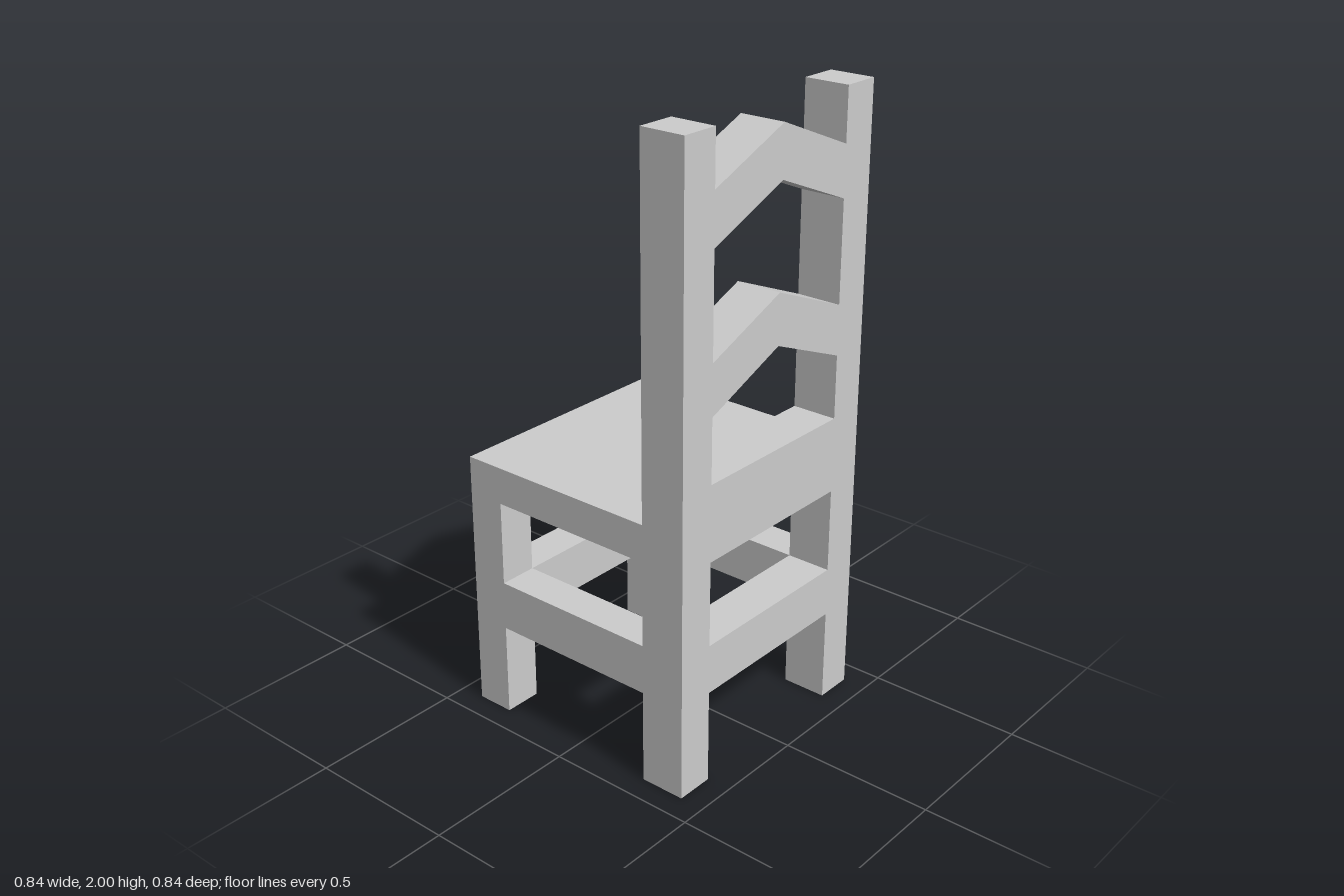
import * as THREE from 'three';

const HALF = 0.42;    // half of the footprint
const INNER = 0.295;  // inner face of the legs
const BACK = 0.272;   // inner face of the back posts

export function createModel() {
  const chair = new THREE.Group();
  chair.name = 'chair';
  const material = new THREE.MeshStandardMaterial({ color: 0xcccccc, flatShading: true });

  function add(name, geometry) {
    const mesh = new THREE.Mesh(geometry, material);
    mesh.name = name;
    chair.add(mesh);
    return mesh;
  }

  // Box given by its limits on each axis
  function block(name, [x0, x1], [y0, y1], [z0, z1]) {
    add(name, new THREE.BoxGeometry(x1 - x0, y1 - y0, z1 - z0))
      .position.set((x0 + x1) / 2, (y0 + y1) / 2, (z0 + z1) / 2);
  }

  // Peaked slat between the back posts
  function slat(name, low, thickness, rise) {
    const shape = new THREE.Shape([
      new THREE.Vector2(-INNER, low),
      new THREE.Vector2(0, low + rise),
      new THREE.Vector2(INNER, low),
      new THREE.Vector2(INNER, low + thickness),
      new THREE.Vector2(0, low + thickness + rise),
      new THREE.Vector2(-INNER, low + thickness),
    ]);
    add(name, new THREE.ExtrudeGeometry(shape, { depth: HALF - BACK, bevelEnabled: false }))
      .position.z = BACK;
  }

  const across = [-INNER, INNER];
  const backDepth = [BACK, HALF];
  const frontDepth = [-HALF, -INNER];
  const stretcherHeight = [0.305, 0.465];

  // Legs, back posts and side stretchers
  for (const [side, x] of [['left', [INNER, HALF]], ['right', [-HALF, -INNER]]]) {
    block(side + 'BackPost', x, [0, 2], backDepth);
    block(side + 'Leg', x, [0, 0.74], frontDepth);
    block(side + 'Stretcher', x, stretcherHeight, [-INNER, BACK]);
  }

  // Stretchers between the legs and between the posts
  block('legStretcher', across, stretcherHeight, frontDepth);
  block('postStretcher', across, stretcherHeight, backDepth);

  // Seat and the taller rail behind it
  block('seat', [-HALF, HALF], [0.74, 0.86], [-HALF, BACK]);
  block('seatRail', across, [0.74, 0.985], backDepth);

  // Backrest slats
  slat('lowerSlat', 1.19, 0.16, 0.12);
  slat('upperSlat', 1.673, 0.16, 0.12);

  return chair;
}
